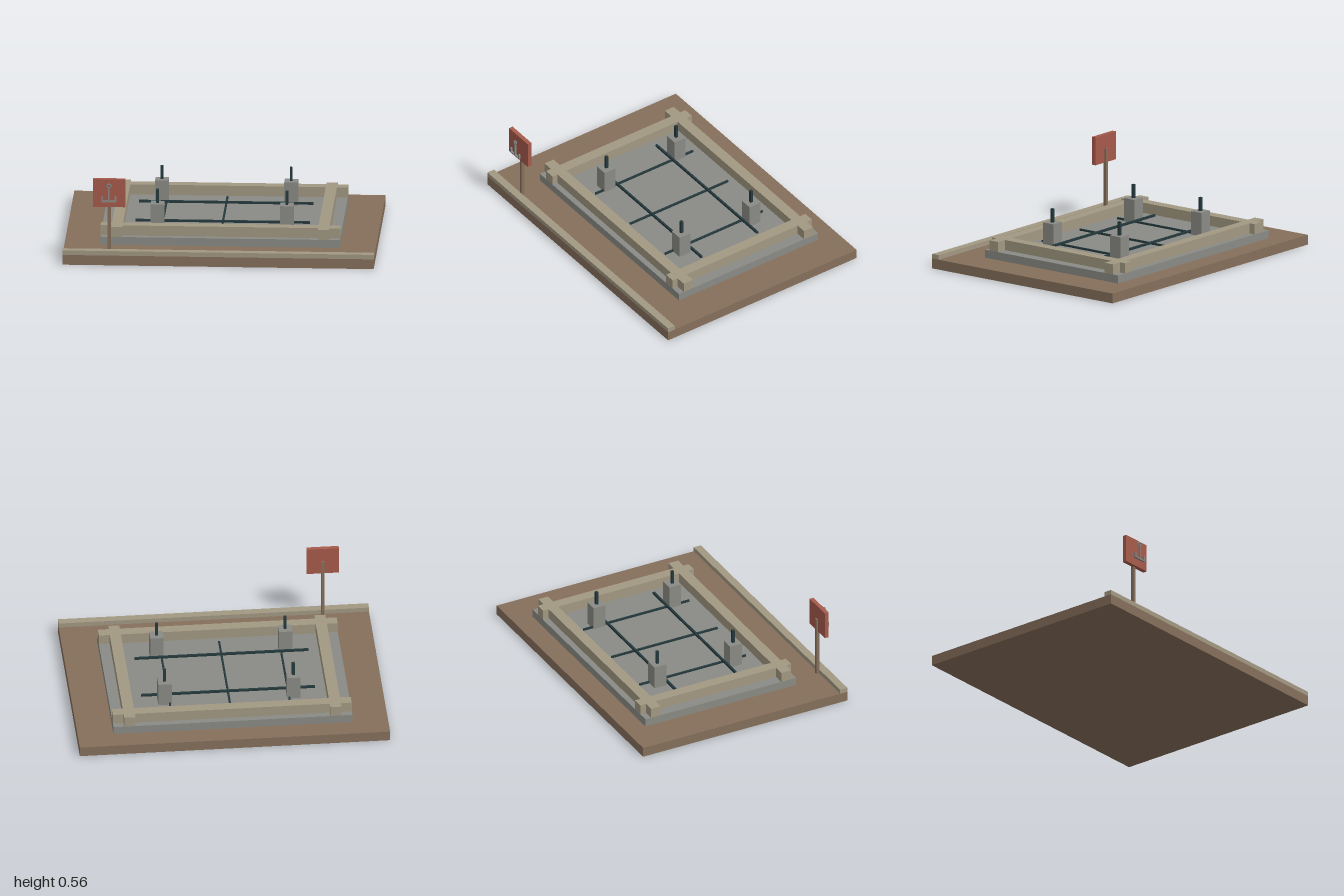
import * as THREE from 'three';

const material = (name, color) => {
  const m = new THREE.MeshStandardMaterial({ color });
  m.name = name;
  return m;
};

export function createModel() {
  const soil = material('soil brown', 0x856f5b);
  const concrete = material('concrete grey', 0x8a8b85);
  const timber = material('timber beige', 0xa29882);
  const steel = material('dark steel', 0x24393d);
  const red = material('sign red', 0xa65a4a);

  const model = new THREE.Group();
  model.name = 'foundationSite';

  // Box given by its limits on each axis
  const box = (name, mat, [x0, x1], [y0, y1], [z0, z1], parent = model) => {
    const mesh = new THREE.Mesh(new THREE.BoxGeometry(x1 - x0, y1 - y0, z1 - z0), mat);
    mesh.position.set((x0 + x1) / 2, (y0 + y1) / 2, (z0 + z1) / 2);
    mesh.name = name;
    parent.add(mesh);
    return mesh;
  };
  const around = (c, half) => [c - half, c + half];

  // Ground, front curb and slab
  box('ground', soil, [-1, 1], [0, 0.065], [-0.742, 0.742]);
  box('curb', timber, [-1, 1], [0.065, 0.095], [0.69, 0.742]);
  box('slab', concrete, [-0.77, 0.77], [0.065, 0.118], [-0.603, 0.493]);

  // Timber formwork with crossing ends
  const railY = [0.118, 0.185];
  for (const [name, z] of [['frontRail', 0.42], ['backRail', -0.527]])
    box(name, timber, [-0.77, 0.77], railY, around(z, 0.035));
  for (const [name, x] of [['leftRail', 0.664], ['rightRail', -0.664]])
    box(name, timber, around(x, 0.036), railY, [-0.603, 0.493]);

  // Reinforcement grid: long bars rest on the cross bars
  for (const x of [-0.385, 0, 0.385])
    box('crossBar', steel, around(x, 0.006), [0.121, 0.133], [-0.44, 0.33]);
  for (const z of [-0.274, 0.165])
    box('longBar', steel, [-0.56, 0.56], [0.131, 0.145], around(z, 0.007));

  // Four piers with anchor rods
  for (const x of [-0.415, 0.415]) {
    for (const z of [-0.328, 0.222]) {
      const pier = new THREE.Group();
      pier.name = 'pier';
      model.add(pier);
      box('pierBlock', concrete, around(x, 0.043), [0.118, 0.273], around(z, 0.043), pier);
      box('pierRod', steel, around(x, 0.009), [0.273, 0.363], around(z, 0.009), pier);
    }
  }

  // Sign on a post
  const sign = new THREE.Group();
  sign.name = 'sign';
  model.add(sign);
  const cx = -0.702;
  box('signPost', soil, around(cx, 0.01), [0.065, 0.473], [0.671, 0.692], sign);
  box('signBoard', red, around(cx, 0.104), [0.38, 0.565], [0.682, 0.71], sign);

  // Raised anchor pictogram in front of the board
  const depth = [0.728, 0.741];
  const ring = new THREE.Mesh(new THREE.TorusGeometry(0.013, 0.0045, 6, 16), concrete);
  ring.position.set(cx, 0.526, 0.7345);
  ring.name = 'pictogramRing';
  sign.add(ring);
  box('pictogramShaft', concrete, around(cx, 0.004), [0.42, 0.513], depth, sign);
  box('pictogramFoot', concrete, around(cx, 0.045), [0.42, 0.429], depth, sign);
  for (const side of [-1, 1])
    box('pictogramFluke', concrete, around(cx + side * 0.043, 0.005), [0.42, 0.455], depth, sign);

  return model;
}
